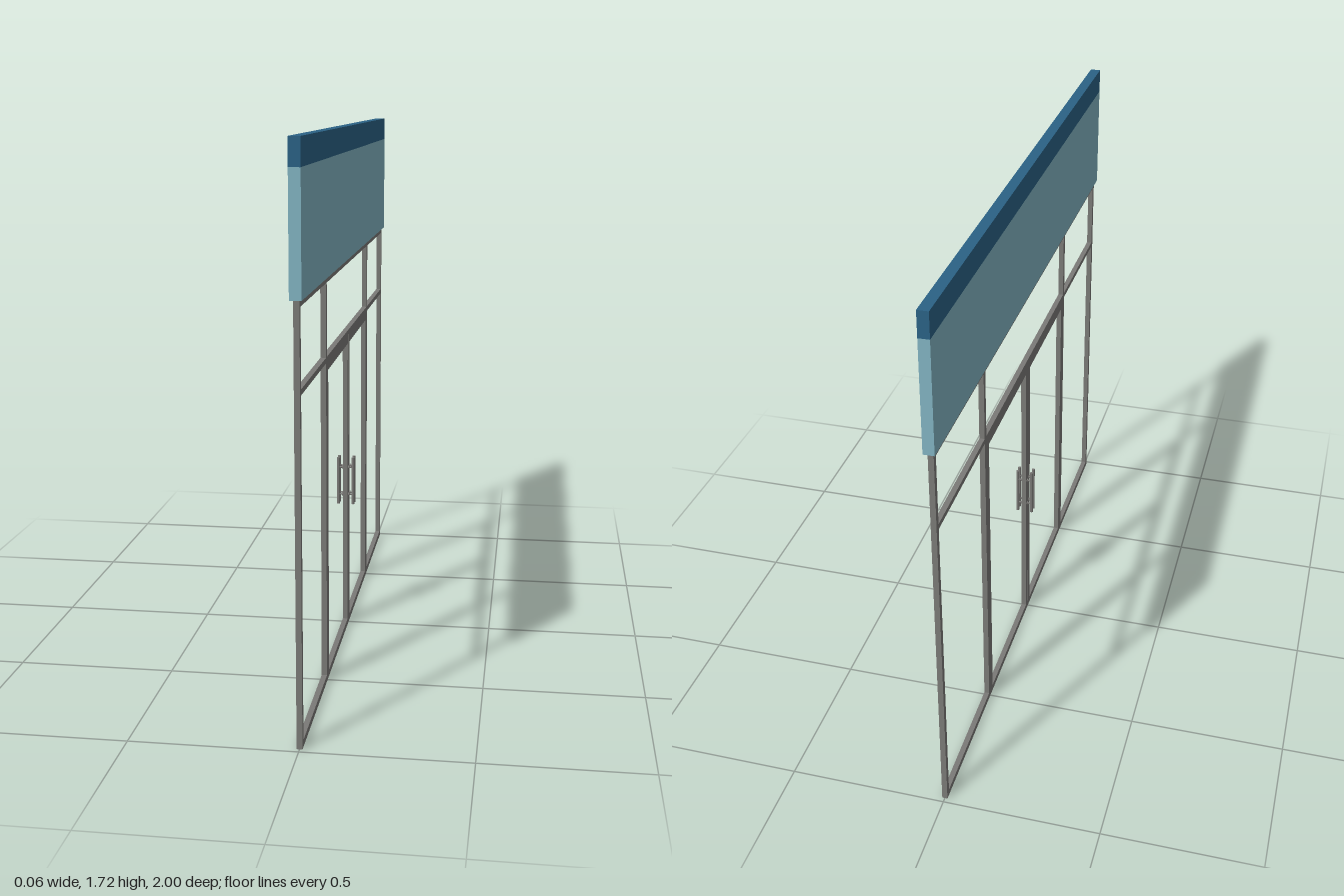
import * as THREE from 'three';

export function createModel() {
  const root = new THREE.Group();
  root.name = 'storefront';
  const mat = (name, color) => {
    const m = new THREE.MeshStandardMaterial({ color });
    m.name = name;
    return m;
  };
  const metal = mat('grey metal', 0x7b7a77);
  const teal = mat('light teal', 0x82b4c2);
  const blue = mat('deep blue', 0x2b6285);

  // Box given by its y and z limits, centred on x = 0
  const slab = (parent, name, material, depth, y0, y1, z0, z1) => {
    const mesh = new THREE.Mesh(new THREE.BoxGeometry(depth, y1 - y0, z1 - z0), material);
    mesh.position.set(0, (y0 + y1) / 2, (z0 + z1) / 2);
    mesh.name = name;
    parent.add(mesh);
  };

  // Sign board with a dark top band
  slab(root, 'signPanel', teal, 0.034, 1.29, 1.64, -1, 1);
  slab(root, 'signTopBand', blue, 0.034, 1.64, 1.72, -1, 1);

  // Window frame
  const frame = new THREE.Group();
  frame.name = 'frame';
  root.add(frame);
  const D = 0.017;
  slab(frame, 'headRail', metal, D, 1.27, 1.29, -0.966, 0.966);
  slab(frame, 'transomRail', metal, D, 1.027, 1.044, -0.966, 0.966);
  slab(frame, 'sill', metal, D, 0, 0.021, -0.966, 0.966);
  for (const s of [-1, 1]) {
    const post = (name, y0, y1, a, b) =>
      slab(frame, name, metal, D, y0, y1, Math.min(s * a, s * b), Math.max(s * a, s * b));
    post('sidePost', 0, 1.29, 0.966, 0.984);
    post('upperMullion', 1.044, 1.27, 0.495, 0.513);
    post('doorPost', 0.021, 1.027, 0.492, 0.513);

    // Door leaf
    post('outerStile', 0.021, 1.027, 0.47, 0.492);
    post('meetingStile', 0.021, 1.027, 0.001, 0.025);
    post('doorTopRail', 0.999, 1.027, 0.025, 0.47);

    // Pull handles on both faces
    for (const side of [-1, 1]) {
      const handle = new THREE.Group();
      handle.name = 'pullHandle';
      handle.position.z = s * 0.012;
      const grip = new THREE.Mesh(new THREE.CylinderGeometry(0.005, 0.005, 0.165, 16), metal);
      grip.name = 'grip';
      grip.position.set(side * 0.025, 0.518, 0);
      handle.add(grip);
      for (const y of [0.47, 0.566]) {
        const stem = new THREE.Mesh(new THREE.CylinderGeometry(0.003, 0.003, 0.018, 12), metal);
        stem.name = 'standoff';
        stem.rotation.z = Math.PI / 2;
        stem.position.set(side * 0.016, y, 0);
        const rose = new THREE.Mesh(new THREE.CylinderGeometry(0.006, 0.006, 0.004, 12), metal);
        rose.name = 'rosette';
        rose.rotation.z = Math.PI / 2;
        rose.position.set(side * 0.01, y, 0);
        handle.add(stem, rose);
      }
      root.add(handle);
    }
  }
  return root;
}
